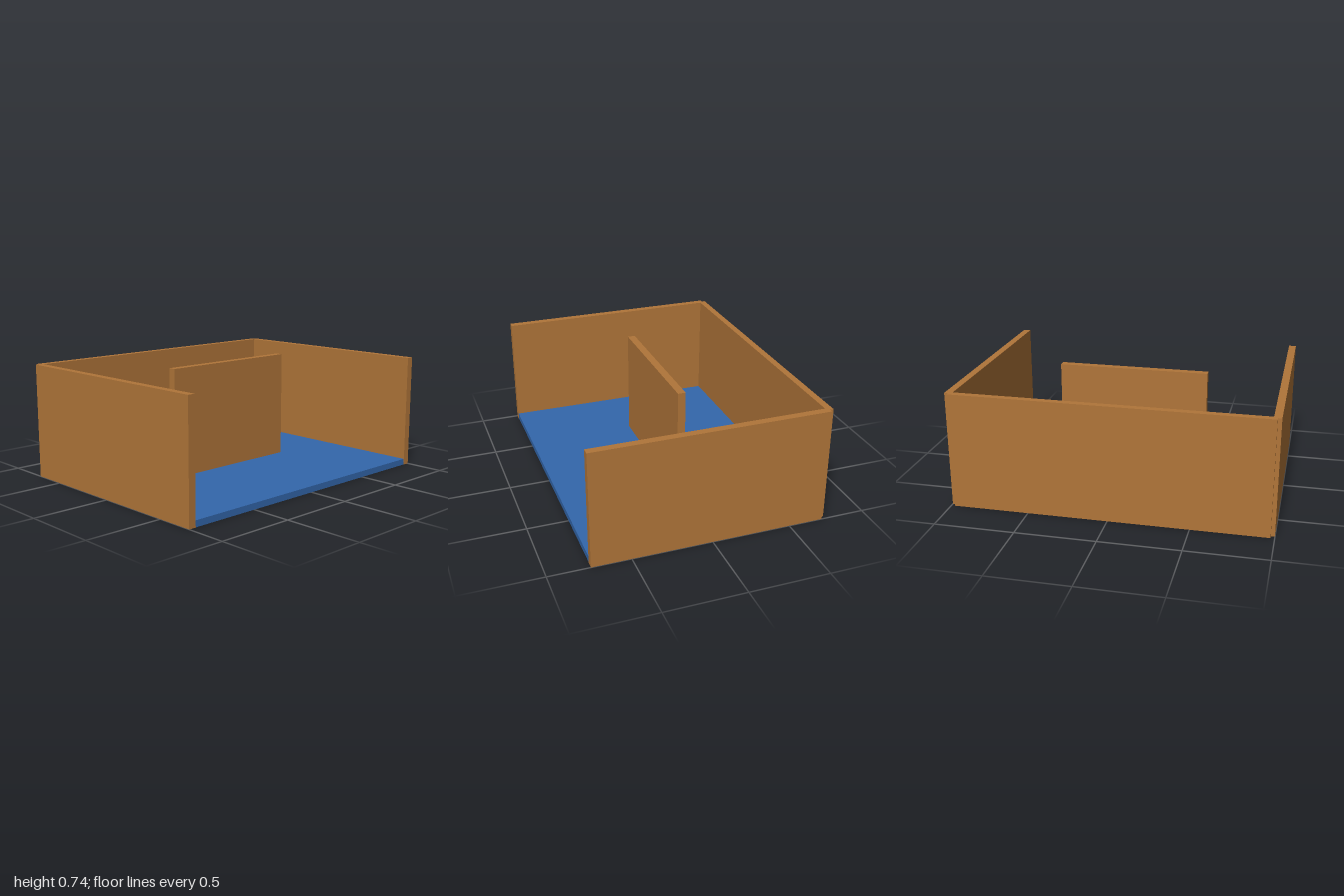
import * as THREE from 'three';

const WOOD = new THREE.MeshStandardMaterial({ color: 0xb07539 });
const BLUE = new THREE.MeshStandardMaterial({ color: 0x3367ac });
const HEIGHT = 0.735;

// Box given by its extents on each axis
function slab(name, material, [x0, x1], [y0, y1], [z0, z1]) {
  const mesh = new THREE.Mesh(new THREE.BoxGeometry(x1 - x0, y1 - y0, z1 - z0), material);
  mesh.position.set((x0 + x1) / 2, (y0 + y1) / 2, (z0 + z1) / 2);
  mesh.name = name;
  return mesh;
}

export function createModel() {
  const model = new THREE.Group();
  model.name = 'openRoom';

  // Floor panel between the walls
  model.add(slab('floor', BLUE, [-0.953, 0.953], [0, 0.04], [-0.70, 0.741]));

  // Back wall, stopping short of the outer corners to leave a small notch
  model.add(slab('backWall', WOOD, [-0.976, 0.976], [0, HEIGHT], [-0.743, -0.70]));

  // Side walls, open at the front
  model.add(slab('leftWall', WOOD, [0.953, 1], [0, HEIGHT], [-0.72, 0.743]));
  model.add(slab('rightWall', WOOD, [-1, -0.953], [0, HEIGHT], [-0.72, 0.743]));

  // Free-standing partition in the middle
  model.add(slab('partition', WOOD, [-0.484, 0.484], [0.02, HEIGHT], [-0.019, 0.03]));

  return model;
}
